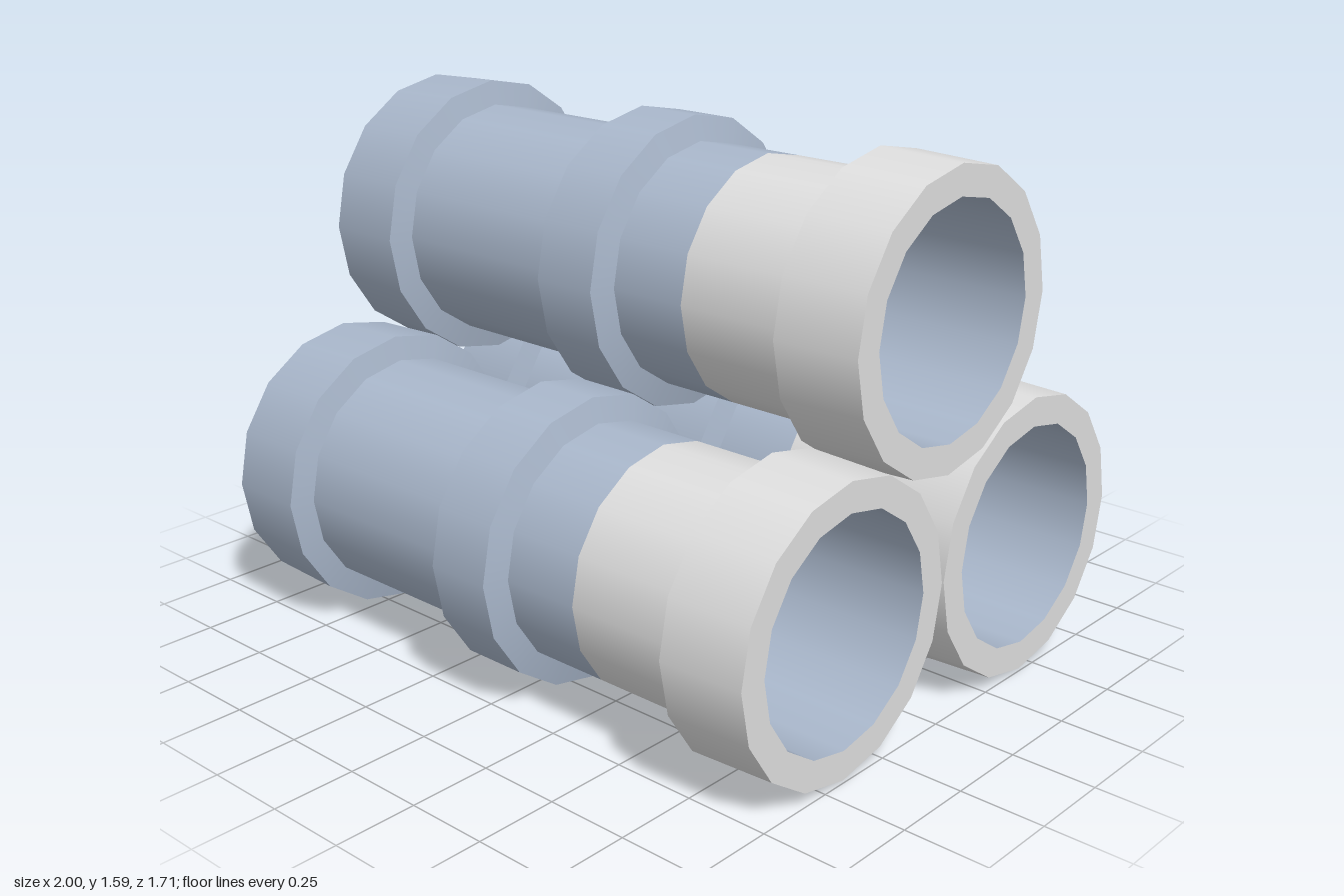
import * as THREE from 'three';
import { mergeGeometries } from 'three/addons/utils/BufferGeometryUtils.js';

const SIDES = 16;
const R_PIPE = 0.357, R_BORE = 0.334, R_END = 0.421, R_COLLAR = 0.43;

// Revolves a profile of [x, radius] points about the x axis.
// Every profile segment is separate, so edges stay sharp while the round is smooth.
function turned(profile) {
  const pieces = [];
  for (let i = 0; i < profile.length - 1; i++) {
    const points = [profile[i], profile[i + 1]].map(([x, r]) => new THREE.Vector2(r, x));
    pieces.push(new THREE.LatheGeometry(points, SIDES));
  }
  return mergeGeometries(pieces).rotateZ(-Math.PI / 2);
}

export function createModel() {
  const blue = new THREE.MeshStandardMaterial({ name: 'pale blue', color: 0xa9b7cb });
  const white = new THREE.MeshStandardMaterial({ name: 'off white', color: 0xdedede });
  const dark = new THREE.MeshStandardMaterial({ name: 'slate blue', color: 0x536c84 });

  // Outer profiles run towards +x, bores run back towards -x
  const parts = [
    ['leftSocket', blue, turned([[-1, R_BORE], [-1, R_END], [-0.745, R_COLLAR], [-0.728, R_PIPE]])],
    ['bluePipe', blue, turned([[-0.73, R_PIPE], [0.366, R_PIPE]])],
    ['middleCollar', blue, turned([[-0.125, R_PIPE], [-0.105, R_COLLAR], [0.1, R_COLLAR], [0.12, R_PIPE]])],
    ['whitePipe', white, turned([[0.366, R_PIPE], [0.728, R_PIPE]])],
    ['rightSocket', white, turned([[0.725, R_PIPE], [0.742, R_COLLAR], [1, R_END], [1, R_BORE]])],
    ['rightBore', blue, turned([[1, R_BORE], [0.366, R_BORE]])],
    ['leftBore', dark, turned([[0.366, R_BORE], [-1, R_BORE]])],
  ];

  // Three pipes stacked in a pyramid
  const model = new THREE.Group();
  model.name = 'pipeStack';
  const places = [
    ['frontPipe', 0.43, 0.425],
    ['backPipe', 0.43, -0.425],
    ['topPipe', 1.163, 0],
  ];
  for (const [name, y, z] of places) {
    const pipe = new THREE.Group();
    pipe.name = name;
    pipe.position.set(0, y, z);
    for (const [partName, material, geometry] of parts) {
      const mesh = new THREE.Mesh(geometry, material);
      mesh.name = partName;
      pipe.add(mesh);
    }
    model.add(pipe);
  }
  return model;
}
